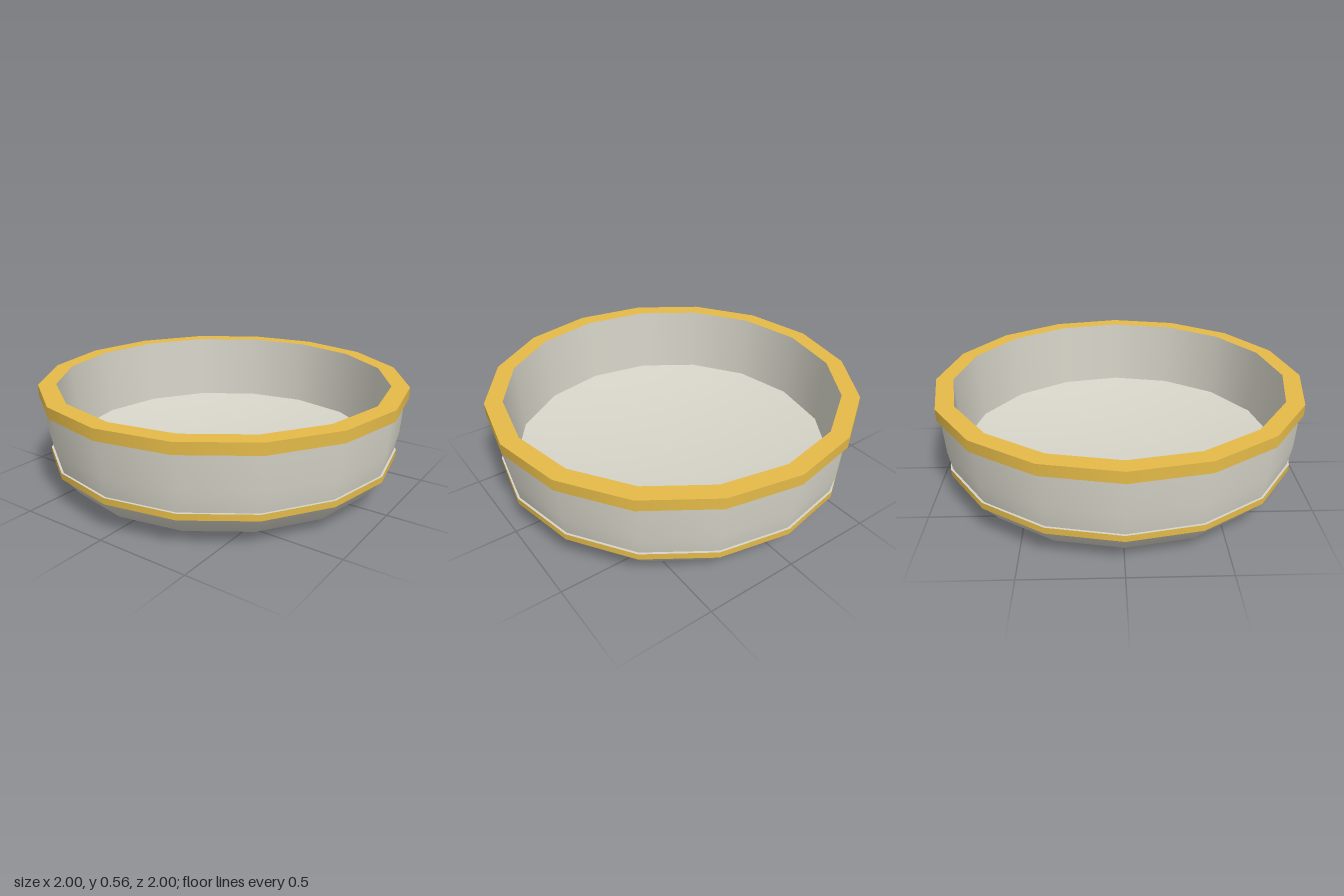
import * as THREE from 'three';

const SIDES = 16;

export function createModel() {
  const grey = new THREE.MeshStandardMaterial({ color: 0xd6d4c8 });
  grey.name = 'warmGrey';
  const gold = new THREE.MeshStandardMaterial({ color: 0xe4ba48 });
  gold.name = 'gold';

  const bowl = new THREE.Group();
  bowl.name = 'bowl';

  // Turns a profile of [radius, height] points; normals are smooth along it
  const turn = (parent, name, profile, material) => {
    const points = profile.map(([r, y]) => new THREE.Vector2(r, y));
    const mesh = new THREE.Mesh(new THREE.LatheGeometry(points, SIDES), material);
    mesh.name = name;
    parent.add(mesh);
  };

  // A trim ring whose profile corners stay sharp
  const trim = (name, profile) => {
    const group = new THREE.Group();
    group.name = name;
    for (let i = 1; i < profile.length; i++) {
      turn(group, name + 'Face', [profile[i - 1], profile[i]], gold);
    }
    bowl.add(group);
  };

  // Underside, ledge above the band, and outer wall
  turn(bowl, 'underside', [[0, 0], [0.66, 0.004], [0.87, 0.067], [0.95, 0.167]], grey);
  turn(bowl, 'ledge', [[0.96, 0.203], [0.948, 0.203]], grey);
  turn(bowl, 'outerWall', [[0.948, 0.203], [0.968, 0.31], [0.98, 0.5]], grey);

  // Inner wall up to the top edge, and a shallow dished floor
  turn(bowl, 'innerWall', [[0.905, 0.56], [0.885, 0.18]], grey);
  const floor = [];
  for (let i = 0; i <= 6; i++) {
    const t = 1 - i / 6;
    floor.push([0.885 * t, 0.1 + 0.08 * t * t]);
  }
  turn(bowl, 'floor', floor, grey);

  // Gold rim and the thin band around the lower wall
  trim('rim', [[0.975, 0.5], [1, 0.5], [1, 0.56], [0.905, 0.56]]);
  trim('band', [[0.945, 0.167], [0.96, 0.17], [0.96, 0.203]]);

  return bowl;
}
